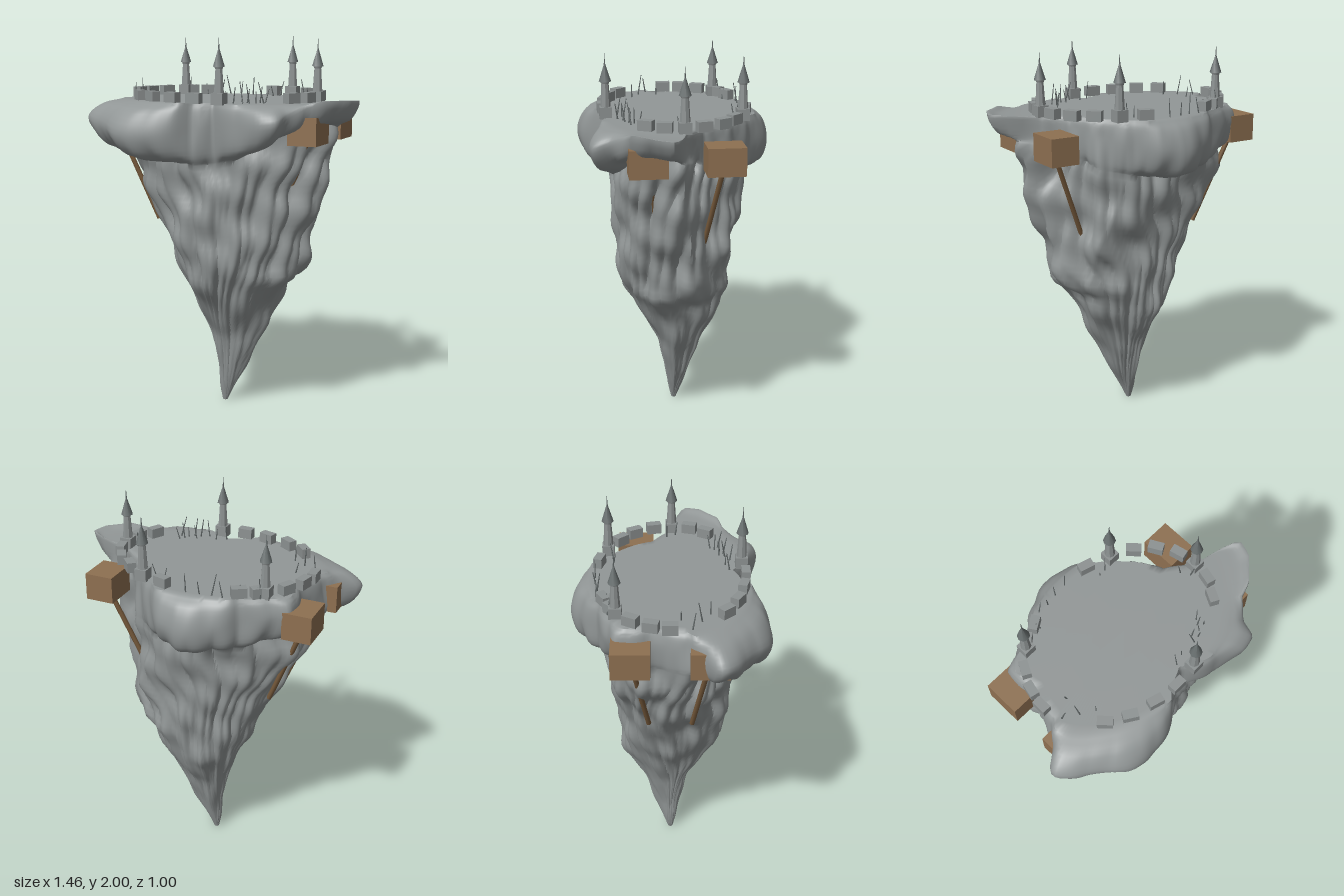
import * as THREE from 'three';
import { toCreasedNormals } from 'three/addons/utils/BufferGeometryUtils.js';

const TOP = 1.67; // plateau height

// Rim of the cap by angle: degrees, radius, height of the rim, height of the underside
const RIM = [
  [0, 0.5, 1.66, 1.53], [4, 0.68, 1.68, 1.55], [6, 0.73, 1.685, 1.56], [13, 0.73, 1.69, 1.56],
  [23, 0.65, 1.69, 1.55], [28, 0.59, 1.67, 1.54], [39, 0.59, 1.62, 1.49], [45, 0.62, 1.59, 1.45],
  [52, 0.58, 1.58, 1.42], [62, 0.465, 1.57, 1.39], [81, 0.335, 1.56, 1.36], [98, 0.375, 1.53, 1.35],
  [105, 0.456, 1.52, 1.36], [117, 0.55, 1.5, 1.36], [125, 0.61, 1.5, 1.36], [139, 0.666, 1.53, 1.38],
  [150, 0.695, 1.55, 1.4], [160, 0.77, 1.57, 1.43], [163, 0.765, 1.57, 1.44], [166, 0.66, 1.58, 1.45],
  [172, 0.57, 1.59, 1.45], [191, 0.53, 1.59, 1.44], [207, 0.6, 1.58, 1.43], [213, 0.535, 1.57, 1.41],
  [230, 0.47, 1.55, 1.39], [253, 0.5, 1.51, 1.37], [267, 0.505, 1.5, 1.36], [280, 0.467, 1.51, 1.37],
  [295, 0.405, 1.54, 1.39], [315, 0.385, 1.57, 1.41], [345, 0.39, 1.62, 1.47], [360, 0.5, 1.66, 1.53],
];
// Cliff extents by height: y, min x, max x, min z, max z
const CLIFF = [
  [0, -0.045, -0.02, -0.012, 0.012], [0.08, -0.06, 0.015, -0.04, 0.03], [0.2, -0.06, 0.085, -0.08, 0.05],
  [0.4, -0.1, 0.18, -0.14, 0.09], [0.6, -0.175, 0.27, -0.25, 0.2], [0.7, -0.23, 0.32, -0.26, 0.26],
  [0.76, -0.25, 0.41, -0.27, 0.28], [0.9, -0.3, 0.43, -0.28, 0.31], [1.0, -0.36, 0.46, -0.29, 0.31],
  [1.2, -0.47, 0.53, -0.33, 0.32], [1.36, -0.54, 0.57, -0.35, 0.33], [1.6, -0.55, 0.57, -0.36, 0.34],
];

// Linear lookup in a table sorted by its first column
function lookup(table, k) {
  let i = 1;
  while (i < table.length - 1 && table[i][0] < k) i++;
  const a = table[i - 1], b = table[i];
  const t = (k - a[0]) / (b[0] - a[0]);
  return a.map((v, n) => v + (b[n] - v) * t);
}

const rimAt = (a) => lookup(RIM, (THREE.MathUtils.radToDeg(a) + 360) % 360);

// Vertical folds that wander sideways as they rise
function fold(a, y) {
  const w = a + 0.13 * Math.sin(y * 5 + 2 * a) + 0.04 * Math.sin(y * 13 + 3 * a);
  return 0.085 * (Math.abs(Math.sin(w * 6.5 + 0.4)) - 0.6)
    + 0.05 * (Math.abs(Math.sin(w * 14.5 + 1.3 + Math.sin(y * 4))) - 0.6)
    + 0.03 * Math.sin(y * 17 + 5 * a) + 0.02 * Math.sin(y * 31 - 4 * a);
}

// Cliff surface; kept inside the neighbouring rim, with the folds on top
function cliffPoint(a, y) {
  const [, x0, x1, z0, z1] = lookup(CLIFF, y);
  const c = Math.cos(a), s = Math.sin(a);
  const cx = -0.032 * Math.max(0, 1 - y / 1.2);
  const rx = c > 0 ? x1 - cx : cx - x0;
  const rz = s > 0 ? z1 : -z0;
  const limit = [-0.14, -0.07, 0, 0.07, 0.14].reduce((sum, d) => sum + rimAt(a + d)[1], 0) / 5;
  const r = Math.min(1 / Math.hypot(c / rx, s / rz), limit * 0.96) * (1 + fold(a, y));
  return new THREE.Vector3(cx + r * c, y, r * s);
}

// One bottom-to-centre strip of the rock at a given angle
function rockColumn(a) {
  const [, R, m, b] = rimAt(a);
  const c = Math.cos(a), s = Math.sin(a);
  const at = (r, y) => new THREE.Vector3(r * c, y, r * s);
  const col = [];
  for (let i = 0; i < 46; i++) col.push(cliffPoint(a, (b * i) / 46));
  const start = cliffPoint(a, b);
  const rim = R * (1 + 0.012 * Math.sin(17 * a));
  const f = Math.min(R * 0.95, 1 / Math.hypot(c / 0.6, s / 0.41));
  const inner = Math.hypot(start.x, start.z);
  const under = at((inner + (rim - inner) * 0.72) * (1 + 0.3 * fold(a, 1.4)), b + (m - b) * 0.25);
  const shoulder = at((f + (rim - f) * 0.62) * (1 + 0.1 * fold(a, 1.6)), m + (TOP - m) * 0.72);
  const edge = at(f, TOP);
  col.push(...new THREE.CatmullRomCurve3([start, under, at(rim, m), shoulder, edge]).getPoints(18));
  for (const t of [0.92, 0.6, 0.3, 0.001]) col.push(at(f * t, TOP));
  return col;
}

function rockGeometry() {
  const N = 220, pos = [], idx = [];
  let rows = 0;
  for (let j = 0; j < N; j++) {
    const col = rockColumn((j / N) * Math.PI * 2);
    rows = col.length;
    col.forEach((p) => pos.push(p.x, p.y, p.z));
  }
  for (let j = 0; j < N; j++) {
    const k = (j + 1) % N;
    for (let i = 0; i < rows - 1; i++) {
      const p = j * rows + i, q = k * rows + i;
      idx.push(p, p + 1, q, q, p + 1, q + 1);
    }
  }
  const g = new THREE.BufferGeometry();
  g.setAttribute('position', new THREE.Float32BufferAttribute(pos, 3));
  g.setIndex(idx);
  return toCreasedNormals(g, 0.9);
}

export function createModel() {
  const model = new THREE.Group();
  const material = (name, color) => {
    const m = new THREE.MeshStandardMaterial({ color });
    m.name = name;
    return m;
  };
  const rock = material('rock grey', 0x929797);
  const stone = material('wall stone', 0x8d9292);
  const dark = material('dark slate', 0x697070);
  const wood = material('wood', 0x8e7051);
  const beamWood = material('beam wood', 0x785b3c);

  const add = (parent, name, geo, mat, x = 0, y = 0, z = 0) => {
    const mesh = new THREE.Mesh(geo, mat);
    mesh.name = name;
    mesh.position.set(x, y, z);
    parent.add(mesh);
    return mesh;
  };

  add(model, 'floatingRock', rockGeometry(), rock);

  // Broken ring of wall blocks, each turned along the ring
  const wall = new THREE.Group();
  wall.name = 'wall';
  model.add(wall);
  const block = new THREE.BoxGeometry(0.075, 0.052, 0.045);
  const blocks = [
    [0.1, -0.36], [0.33, -0.26], [0.415, -0.19], [0.47, -0.09], [0.47, 0.1], [0.415, 0.185],
    [-0.03, 0.375], [-0.16, 0.36], [-0.29, 0.325], [-0.395, 0.265], [-0.545, 0], [-0.525, -0.09],
    [-0.475, -0.185], [-0.37, -0.28], [-0.285, -0.32],
  ];
  for (const [x, z] of blocks) {
    const m = add(wall, 'wallBlock', block, stone, x, 1.695, z);
    m.rotation.y = Math.atan2((x + 0.03) / 0.47, z / 0.37);
  }

  // Towers: square base, tapering shaft, collar, pointed roof and spire
  const shaft = new THREE.CylinderGeometry(0.017, 0.026, 0.14, 8).toNonIndexed();
  shaft.computeVertexNormals();
  for (const [x, z, h] of [[0.1, 0.36, 0.98], [0.485, 0.005, 0.96], [0.225, -0.32, 1], [-0.395, -0.26, 0.96]]) {
    const tower = new THREE.Group();
    tower.name = 'tower';
    tower.position.set(x, 1.665, z);
    tower.scale.y = h;
    model.add(tower);
    add(tower, 'towerBase', new THREE.BoxGeometry(0.062, 0.06, 0.062), stone, 0, 0.03, 0);
    add(tower, 'towerShaft', shaft, stone, 0, 0.13, 0);
    add(tower, 'towerCollar', new THREE.CylinderGeometry(0.024, 0.02, 0.015, 8), stone, 0, 0.187, 0);
    add(tower, 'towerRoof', new THREE.ConeGeometry(0.031, 0.1, 8), dark, 0, 0.24, 0);
    add(tower, 'towerSpire', new THREE.ConeGeometry(0.005, 0.07, 5), dark, 0, 0.3, 0);
  }

  // Leaning stakes scattered over the plateau
  const stakes = [
    [-0.44, 0.05], [-0.51, 0.11], [-0.45, 0.14], [-0.38, 0.19], [-0.38, -0.29], [-0.28, -0.3], [-0.21, -0.36],
    [-0.17, -0.35], [-0.1, -0.375], [-0.03, -0.375], [0.12, -0.285], [0.17, -0.3], [0.4, -0.02], [0.44, 0.03],
    [0.05, 0.29], [0.1, 0.28], [0.16, 0.31], [0.18, 0.27], [0.21, 0.25], [0.22, 0.28], [0.25, 0.25],
    [0.27, 0.23], [0.28, 0.255], [0.29, 0.2],
  ];
  stakes.forEach(([x, z], i) => {
    const h = 0.06 + 0.05 * ((i * 7) % 5) / 4;
    const m = add(model, 'stake', new THREE.CylinderGeometry(0.002, 0.004, h, 4), dark, x, TOP + h / 2 - 0.002, z);
    m.rotation.set(0.2 * Math.sin(i * 2.1), 0, 0.22 * Math.cos(i * 3.7));
  });

  // Four hanging wooden huts, each propped by a slanted beam
  for (const sx of [1, -1]) {
    for (const sz of [1, -1]) {
      const hut = new THREE.Group();
      hut.name = 'hangingHut';
      model.add(hut);
      add(hut, 'hutBox', new THREE.BoxGeometry(0.15, 0.14, 0.187), wood, -0.03 + sx * 0.535, 1.54, sz * 0.187);
      const from = new THREE.Vector3(-0.03 + sx * 0.535, 1.49, sz * 0.18);
      const to = new THREE.Vector3(-0.03 + sx * 0.345, 1.02, sz * 0.11);
      const dir = from.clone().sub(to);
      const beam = add(hut, 'hutBeam', new THREE.CylinderGeometry(0.013, 0.013, dir.length(), 8), beamWood);
      beam.position.copy(from).add(to).multiplyScalar(0.5);
      beam.quaternion.setFromUnitVectors(new THREE.Vector3(0, 1, 0), dir.normalize());
    }
  }
  return model;
}
